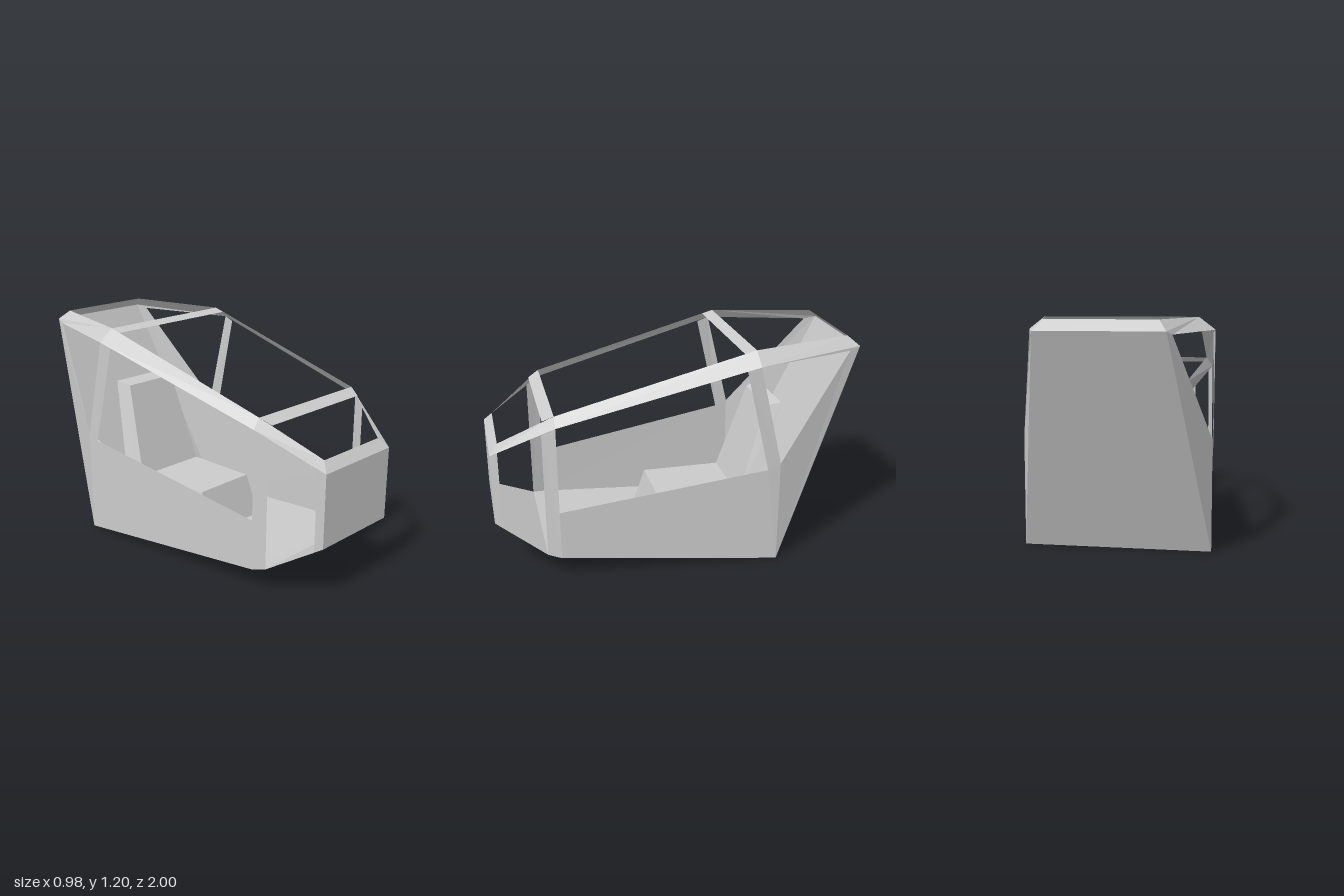
import * as THREE from 'three';

const material = new THREE.MeshStandardMaterial({ color: 0xcccccc, flatShading: true, side: THREE.DoubleSide });

// Flat-shaded mesh from convex outlines, each fanned into triangles
function panels(name, outlines) {
  const pos = [];
  for (const o of outlines) {
    for (let i = 1; i < o.length - 1; i++) pos.push(...o[0], ...o[i], ...o[i + 1]);
  }
  const geo = new THREE.BufferGeometry();
  geo.setAttribute('position', new THREE.Float32BufferAttribute(pos, 3));
  geo.computeVertexNormals();
  const mesh = new THREE.Mesh(geo, material);
  mesh.name = name;
  return mesh;
}

const flip = ([x, y, z]) => [-x, y, z];

// Panel spanning the centre line between two left-hand points
const span = (a, b) => [a, b, flip(b), flip(a)];

// Left panel plus its mirrored right twin
const both = (outline) => [outline, outline.map(flip).reverse()];

export function createModel() {
  const group = new THREE.Group();
  group.name = 'cockpit';
  const add = (name, outlines) => group.add(panels(name, outlines));

  // Hull corners on the left side
  const rearFloor = [0.49, 0, -0.51], frontFloor = [0.41, 0.12, 0.67], noseKink = [0.383, 0.135, 0.74];
  const noseLow = [0.26, 0.293, 1], noseHigh = [0.26, 0.685, 1], noseRim = [0.22, 0.735, 0.955];
  const sillFront = [0.41, 0.39, 0.67], sillRear = [0.49, 0.55, -0.44], sillEnd = [0.49, 0.58, -0.51];
  const screenOut = [0.41, 0.865, 0.67], screenIn = [0.37, 0.917, 0.67];
  const roofOut = [0.49, 1.13, -0.38], roofIn = [0.405, 1.195, -0.38];
  const rearOut = [0.31, 1.143, -1], rearIn = [0.27, 1.195, -0.94], rearCorner = [0.33, 1.127, -0.935];

  // Shell
  add('floor', [span(rearFloor, frontFloor), span(frontFloor, noseKink), span(noseKink, noseLow)]);
  add('nosePanel', [span(noseLow, noseHigh)]);
  add('rearWall', [span(rearOut, rearFloor)]);
  add('sideWalls', both([rearFloor, sillEnd, sillRear, sillFront, frontFloor]));
  add('rearSidePanels', both([rearFloor, rearOut, rearCorner, sillEnd]));

  // Pillars
  add('nosePillars', both([noseLow, [0.278, 0.272, 0.96], [0.278, 0.708, 0.96], noseHigh]));
  add('frontPillars', both([frontFloor, screenOut, [0.38, 0.83, 0.74], noseKink]));
  add('rearPillars', both([sillEnd, roofOut, [0.475, 1.112, -0.31], sillRear]));

  // Chamfered rails running from nose to rear
  add('noseRails', both([noseHigh, screenOut, screenIn, noseRim]));
  add('windscreenRails', both([screenOut, roofOut, roofIn, screenIn]));
  add('roofRails', both([roofOut, rearCorner, rearOut, rearIn, roofIn]));

  // Cross bars
  add('noseRim', [span(noseHigh, noseRim)]);
  add('lowerCrossBar', [span([0.345, 0.885, 0.73], screenIn)]);
  add('roofCrossBar', [span([0.403, 1.178, -0.318], roofIn)]);
  add('rearRim', [span(rearIn, rearOut)]);

  // Seat: narrow cushioned face flaring out to a wider base and back
  const cushionFront = [0.183, 0.3, 0.09], cushionBack = [0.22, 0.28, -0.37], backTop = [0.165, 0.79, -0.53];
  const baseFront = [0.215, 0.05, 0.165], baseBack = [0.29, 0.01, -0.4], backRear = [0.195, 0.81, -0.61];
  add('seat', [
    span(baseFront, cushionFront), span(cushionFront, cushionBack), span(cushionBack, backTop),
    span(backTop, backRear), span(backRear, baseBack), span(baseBack, baseFront),
    ...both([baseFront, baseBack, cushionBack, cushionFront]),
    ...both([cushionBack, baseBack, backRear, backTop]),
  ]);

  return group;
}
